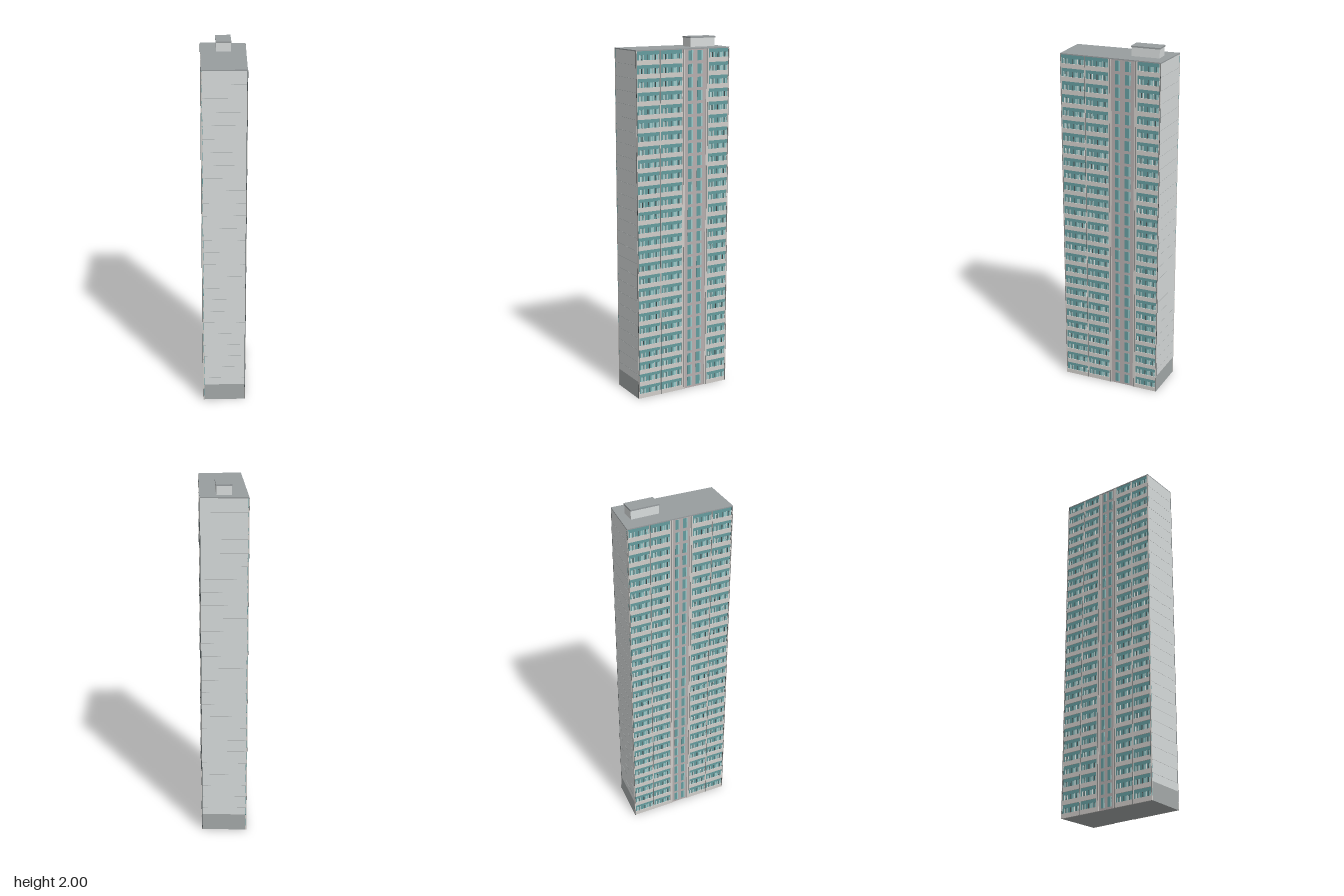
import * as THREE from 'three';
import { mergeGeometries } from 'three/addons/utils/BufferGeometryUtils.js';

const FLOORS = 27, STOREY = 0.0718, ROOF = 1.945, WALL_TOP = 1.939, INSET = 0.006;
// Footprint corners [x, z], ordered so that each wall faces outward
const CORNERS = [[-0.267, 0.174], [-0.072, 0.309], [0.267, -0.152], [0.071, -0.312]];

const flat = (name, color) => {
  const m = new THREE.MeshStandardMaterial({ color });
  m.name = name;
  return m;
};

export function createModel() {
  const mats = {
    panel: flat('pale end wall', 0xd8dcdc),
    concrete: flat('warm concrete', 0xd0cdc9),
    base: flat('plinth grey', 0xa5aaaa),
    roof: flat('roof grey', 0x989d9f),
    glass: flat('teal glass', 0x649c9e),
    pale: flat('pale teal glass', 0x9ccaca),
    frame: flat('white frame', 0xe4e8e6),
    core: flat('stair wall', 0xb6aeae),
    trim: flat('dark trim', 0x4c5253),
  };
  const model = new THREE.Group();
  model.name = 'towerBlock';

  // Upright prism over a polygon of [x, z] points
  const prism = (name, mat, pts, y0, y1) => {
    const shape = new THREE.Shape(pts.map(([x, z]) => new THREE.Vector2(x, -z)));
    const g = new THREE.ExtrudeGeometry(shape, { depth: y1 - y0, bevelEnabled: false });
    g.rotateX(-Math.PI / 2).translate(0, y0, 0);
    const m = new THREE.Mesh(g, mat);
    m.name = name;
    model.add(m);
  };

  // Polygon with every side moved inward by d (corners are near right angles)
  const shrink = (pts, d) => pts.map(([x, z], i) => {
    const p = new THREE.Vector2(x, z);
    const toNext = new THREE.Vector2(...pts[(i + 1) % 4]).sub(p).setLength(d);
    const toPrev = new THREE.Vector2(...pts[(i + 3) % 4]).sub(p).setLength(d);
    return p.add(toNext).add(toPrev).toArray();
  });

  // A wall frame: x runs along the wall, z points outward, z = 0 is the wall core
  const wall = (name, i) => {
    const [px, pz] = CORNERS[i], [qx, qz] = CORNERS[(i + 1) % 4];
    const group = new THREE.Group();
    group.name = name;
    group.rotation.y = Math.atan2(pz - qz, qx - px);
    group.position.set(px, 0, pz);
    group.translateZ(-INSET);
    model.add(group);
    const parts = {};
    return {
      length: Math.hypot(qx - px, qz - pz),
      box(part, mat, x0, x1, y0, y1, depth) {
        const g = new THREE.BoxGeometry(x1 - x0, y1 - y0, depth);
        g.translate((x0 + x1) / 2, (y0 + y1) / 2, depth / 2);
        (parts[part] ??= { mat, list: [] }).list.push(g);
      },
      finish() {
        for (const [part, { mat, list }] of Object.entries(parts)) {
          const m = new THREE.Mesh(mergeGeometries(list), mat);
          m.name = part;
          group.add(m);
        }
      },
    };
  };

  // Main block and roof
  prism('mainBlock', mats.base, shrink(CORNERS, INSET), 0, WALL_TOP);
  prism('roofDeck', mats.roof, CORNERS, WALL_TOP, ROOF);

  // One window bay on one storey
  const bay = (w, x0, x1, y) => {
    const b = y + 0.025, t = y + STOREY, s = x1 - x0;
    w.box('spandrels', mats.concrete, x0, x1, y, b, 0.007);
    w.box('windows', mats.glass, x0, x1, b, t, 0.003);
    for (const [f, width] of [[0.16, 0.1], [0.58, 0.1], [0.84, 0.07]])
      w.box('lightPanes', mats.pale, x0 + f * s, x0 + (f + width) * s, b, b + 0.026, 0.0038);
    for (const f of [0.13, 0.3, 0.7, 0.93])
      w.box('mullions', mats.frame, x0 + f * s, x0 + f * s + 0.003, b, b + 0.028, 0.005);
    for (const f of [0.22, 0.48, 0.8])
      w.box('doorPosts', mats.trim, x0 + f * s, x0 + f * s + 0.003, b, b + 0.028, 0.005);
  };

  // One stair-core storey
  const stair = (w, x0, x1, y) => {
    const s = x1 - x0, b = y + 0.012, t = y + STOREY - 0.005;
    w.box('stairWall', mats.core, x0, x1, y, y + STOREY, 0.003);
    for (const [f, g] of [[0.2, 0.4], [0.58, 0.8]]) {
      w.box('stairWindows', mats.glass, x0 + f * s, x0 + g * s, b, t, 0.004);
      w.box('stairLights', mats.pale, x0 + (g - 0.06) * s, x0 + g * s, b, t, 0.0046);
    }
  };

  // Long facades: bay edges as fractions of the length, and which one is the stair core
  const facade = (name, i, edges, core) => {
    const w = wall(name, i), L = w.length;
    for (let k = 0; k < edges.length - 1; k++) {
      const x0 = edges[k] * L, x1 = edges[k + 1] * L;
      for (let f = 0; f < FLOORS; f++) (k === core ? stair : bay)(w, x0, x1, f * STOREY);
    }
    edges.forEach((e, k) => {
      const half = k === core || k === core + 1 ? 0.008 : 0.003;
      const c = THREE.MathUtils.clamp(e * L, half, L - half);
      w.box('piers', mats.concrete, c - half, c + half, 0, WALL_TOP, 0.0075);
      w.box('pierJoints', mats.trim, c - 0.001, c + 0.001, 0, WALL_TOP, 0.0079);
    });
    w.finish();
  };
  facade('frontFacade', 1, [0, 0.25, 0.5, 0.76, 1], 2);
  facade('rearFacade', 3, [0, 0.21, 0.41, 0.6, 0.8, 1], 2);

  // Blank end walls with a plinth and fine storey joints
  for (const [name, i] of [['frontEndWall', 0], ['rearEndWall', 2]]) {
    const w = wall(name, i), L = w.length;
    w.box('endPanel', mats.panel, 0.003, L - 0.003, 0.1, WALL_TOP, INSET);
    w.box('plinth', mats.base, 0.003, L - 0.003, 0, 0.1, INSET);
    for (const x of [0, L - 0.003]) w.box('cornerTrim', mats.trim, x, x + 0.003, 0, WALL_TOP, INSET);
    for (let f = 2; f < FLOORS; f++)
      w.box('storeyJoints', mats.base, 0.003, L - 0.003, f * STOREY, f * STOREY + 0.001, INSET + 0.0004);
    w.finish();
  }

  // Lift housing on the roof
  const house = [[0.015, -0.088], [0.085, -0.04], [0.177, -0.172], [0.107, -0.22]];
  prism('liftHousing', mats.panel, shrink(house, 0.003), ROOF, 1.992);
  prism('liftHousingRoof', mats.roof, house, 1.992, 2);
  return model;
}
